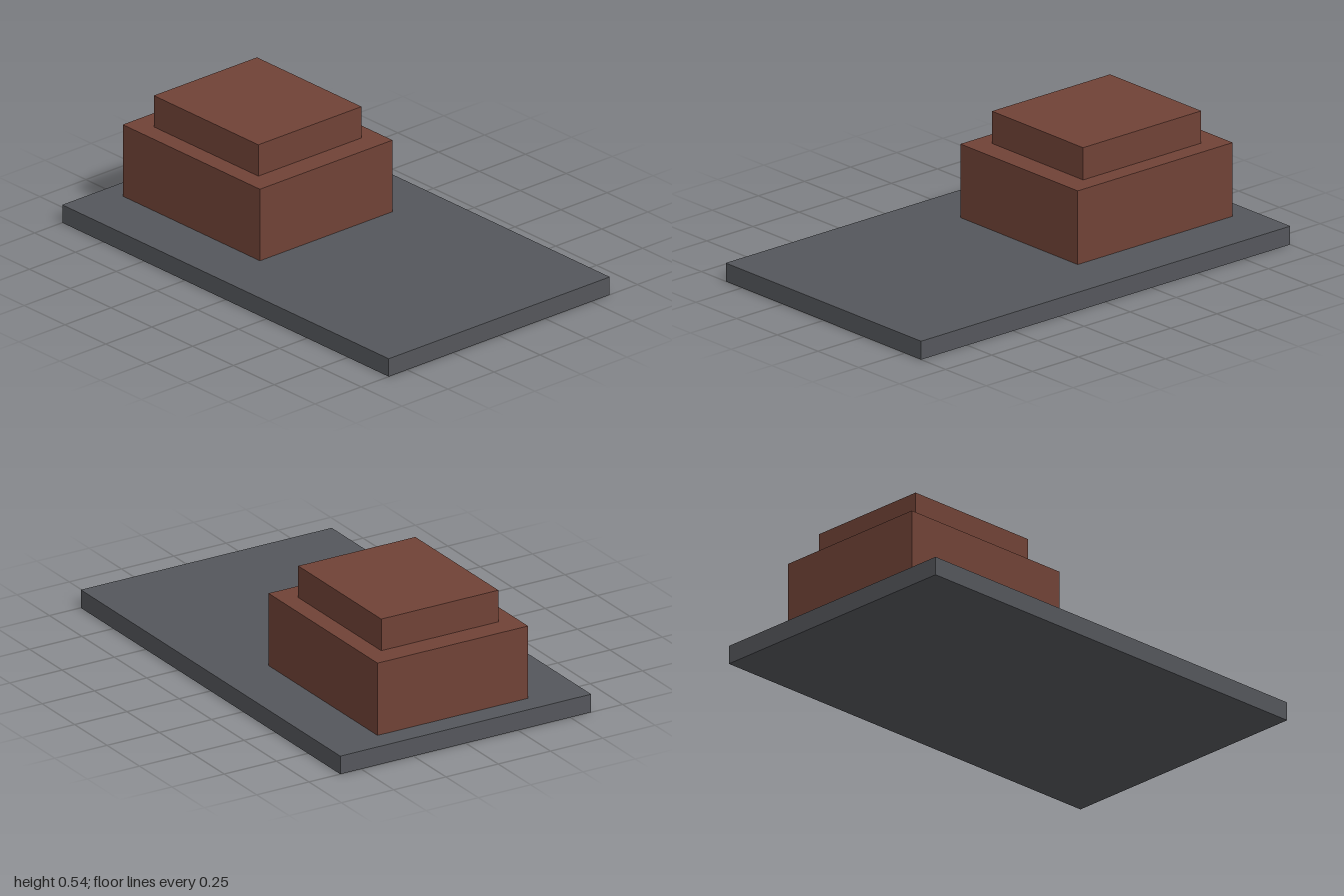
import * as THREE from 'three';

export function createModel() {
  const model = new THREE.Group();
  model.name = 'steppedBlockOnSlab';

  const slate = new THREE.MeshStandardMaterial({ color: 0x54565b });
  slate.name = 'slate grey';
  const brick = new THREE.MeshStandardMaterial({ color: 0x704236 });
  brick.name = 'brick brown';

  // Box resting at height y, centred on x and z = 0
  function addBlock(name, material, [width, height, depth], x, y) {
    const mesh = new THREE.Mesh(new THREE.BoxGeometry(width, height, depth), material);
    mesh.name = name;
    mesh.position.set(x, y + height / 2, 0);
    model.add(mesh);
  }

  // Flat slab, with two stacked tiers towards its right end
  addBlock('baseSlab', slate, [2, 0.08, 1.2], 0, 0);
  addBlock('lowerTier', brick, [0.84, 0.32, 0.72], -0.48, 0.08);
  addBlock('upperTier', brick, [0.64, 0.14, 0.56], -0.48, 0.4);

  return model;
}
